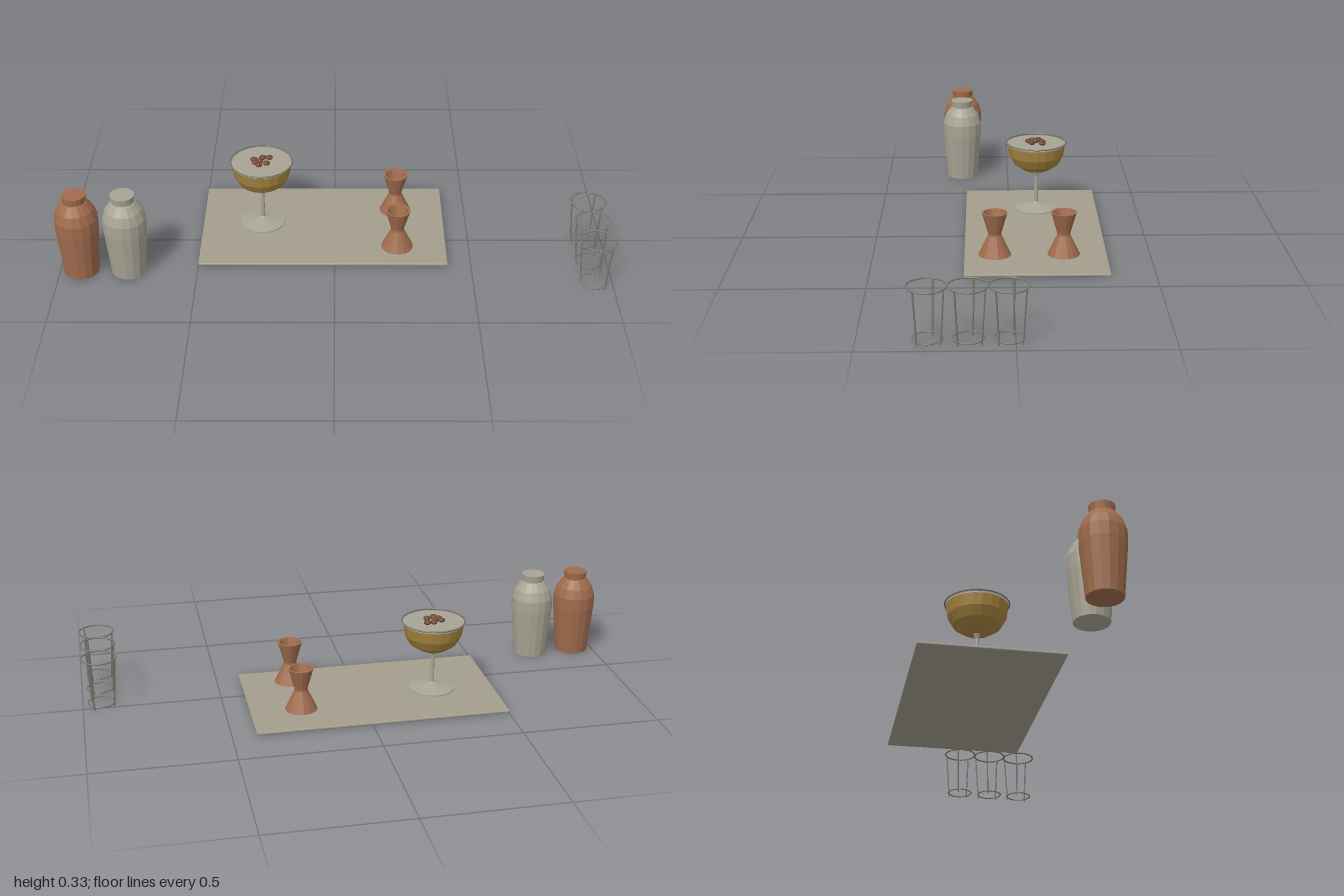
import * as THREE from 'three';
import { RoundedBoxGeometry } from 'three/addons/geometries/RoundedBoxGeometry.js';

const paint = (name, color, flatShading = true) => {
  const m = new THREE.MeshStandardMaterial({ color, flatShading });
  m.name = name;
  return m;
};

export function createModel() {
  const root = new THREE.Group();
  const copper = paint('copper', 0xa06c4d);
  const steel = paint('steel', 0xa8a494);
  const matGrey = paint('mat grey', 0xa39d8c, false);
  const gold = paint('gold drink', 0xa8843f);
  const wire = paint('glass wire', 0x7a776b);
  const bean = paint('coffee bean', 0x6f4a34);

  const add = (parent, name, geometry, material, x = 0, y = 0, z = 0) => {
    const mesh = new THREE.Mesh(geometry, material);
    mesh.name = name;
    mesh.position.set(x, y, z);
    parent.add(mesh);
    return mesh;
  };
  const group = (name, x, z) => {
    const g = new THREE.Group();
    g.name = name;
    g.position.set(x, 0, z);
    root.add(g);
    return g;
  };
  const lathe = (pts, sides) =>
    new THREE.LatheGeometry(pts.map(([r, y]) => new THREE.Vector2(r, y)), sides);
  const ring = (parent, name, radius, tube, y, material) => {
    add(parent, name, new THREE.TorusGeometry(radius, tube, 6, 28), material, 0, y, 0)
      .rotation.x = Math.PI / 2;
  };

  // Bar mat
  add(root, 'barMat', new RoundedBoxGeometry(0.915, 0.01, 0.512, 2, 0.004), matGrey,
    -0.043, 0.008, -0.086);

  // Two shakers with tapered bodies and flared caps
  const shaker = lathe([[0, 0], [0.062, 0], [0.0785, 0.185], [0.0785, 0.232], [0.067, 0.268],
    [0.045, 0.298], [0.041, 0.3], [0.044, 0.327], [0, 0.327]], 16);
  add(root, 'copperShaker', shaker, copper, -0.922, 0, 0.19);
  add(root, 'steelShaker', shaker, steel, -0.75, 0, 0.19);

  // Two hourglass jiggers, hollow at the top
  const jigger = lathe([[0, 0.018], [0.059, 0.018], [0.024, 0.092], [0.024, 0.1], [0.046, 0.176],
    [0.038, 0.176], [0.018, 0.108], [0, 0.108]], 14);
  for (const z of [0.061, -0.185]) add(root, 'jigger', jigger, copper, 0.232, 0, z);

  // Stemmed cocktail glass
  const cocktail = group('cocktailGlass', -0.273, -0.104);
  add(cocktail, 'footAndStem', lathe([[0, 0.018], [0.085, 0.018], [0.085, 0.022], [0.045, 0.03],
    [0.012, 0.04], [0.008, 0.044], [0.0065, 0.15], [0.014, 0.17], [0, 0.17]], 16), steel);
  add(cocktail, 'drink', lathe([[0, 0.167], [0.02, 0.168], [0.05, 0.176], [0.086, 0.2],
    [0.105, 0.234], [0.112, 0.276], [0, 0.276]], 20), gold);
  add(cocktail, 'foam', new THREE.CylinderGeometry(0.112, 0.112, 0.004, 24), steel, 0, 0.278, 0);
  ring(cocktail, 'rim', 0.1155, 0.0028, 0.285, wire);

  // Beans floating on the foam
  const beanShape = new THREE.SphereGeometry(0.014, 8, 6);
  const beans = [[-0.028, -0.008], [0.004, -0.022], [0.028, -0.022], [-0.006, 0.002],
    [0.02, 0.018], [-0.008, 0.03], [-0.022, 0.014]];
  for (const [x, z] of beans) {
    add(cocktail, 'bean', beanShape, bean, x, 0.288, z).scale.set(1, 0.6, 1);
  }

  // Three tumblers made of two rings and slanted uprights
  const uprights = [[0.043, 0.041], [-0.058, -0.018], [0.034, -0.054]];
  for (const z of [0.275, 0.148, 0.021]) {
    const tumbler = group('tumbler', 0.933, z);
    ring(tumbler, 'topRing', 0.063, 0.003, 0.189, wire);
    ring(tumbler, 'bottomRing', 0.048, 0.0025, 0.0145, wire);
    for (const [x, d] of uprights) {
      const path = new THREE.LineCurve3(new THREE.Vector3(x * 0.78, 0.002, d * 0.78),
        new THREE.Vector3(x, 0.19, d));
      add(tumbler, 'upright', new THREE.TubeGeometry(path, 1, 0.003, 6), wire);
    }
  }
  return root;
}
